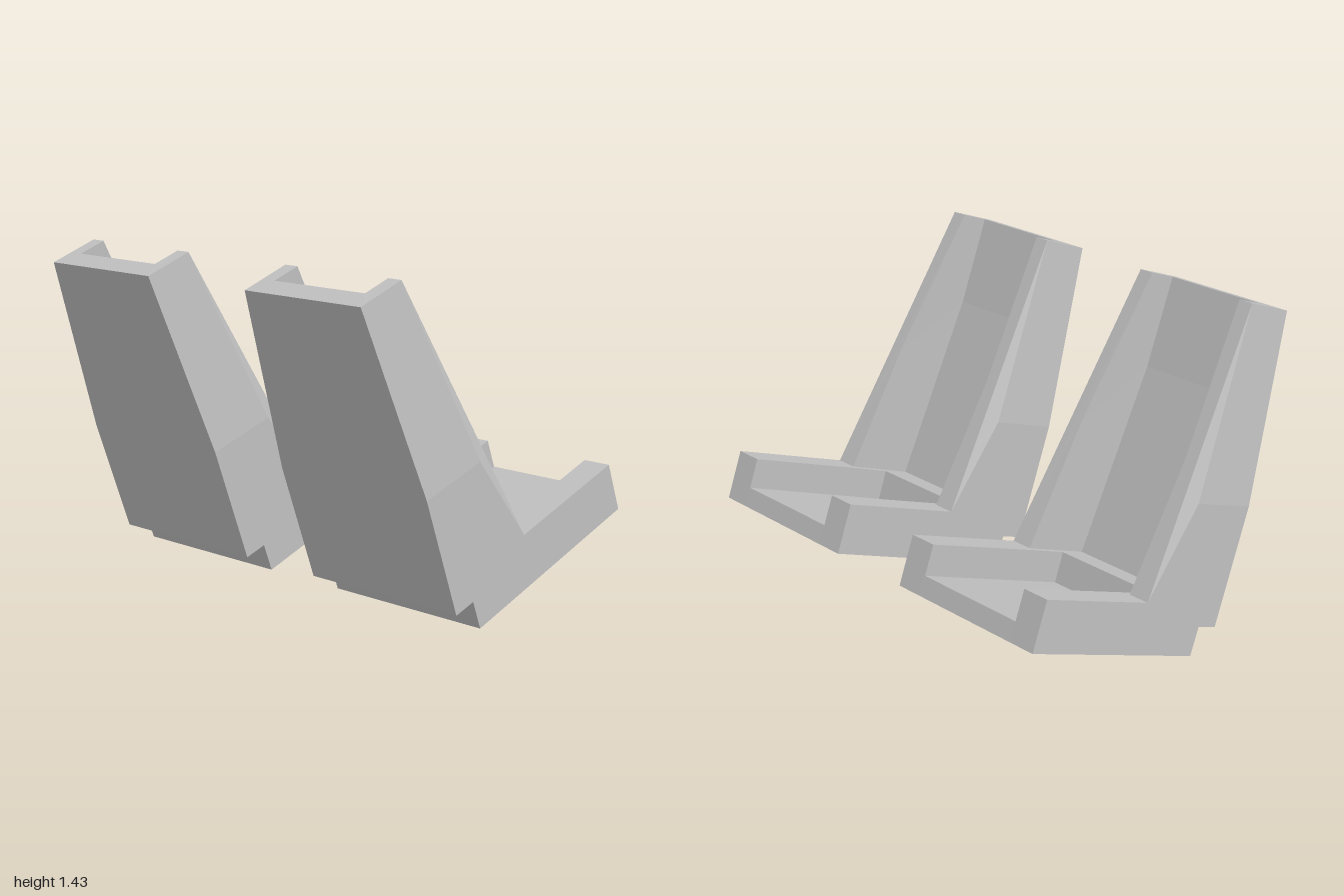
import * as THREE from 'three';

const grey = new THREE.MeshStandardMaterial({ color: 0xc0c0c0 });
grey.name = 'seat grey';

// Side profile given as [z, y], extruded across x from x0 to x1
function slab(name, profile, x0, x1) {
  const shape = new THREE.Shape(profile.map(([z, y]) => new THREE.Vector2(z, y)));
  const geo = new THREE.ExtrudeGeometry(shape, { depth: x1 - x0, bevelEnabled: false });
  geo.rotateY(-Math.PI / 2).translate(x1, 0, 0);
  const mesh = new THREE.Mesh(geo, grey);
  mesh.name = name;
  return mesh;
}

// Backrest: left half from named corners, then mirrored
function backrest() {
  const p = {
    hinge: [0.398, 0.335, -0.12], notch: [0.398, 0.12, 0.19], heel: [0.398, 0.085, 0.29],
    bendBack: [0.398, 0.58, 0.47], bendSide: [0.398, 0.685, 0.16],
    top: [0.313, 1.43, 0.53], topBack: [0.313, 1.35, 0.75],
    rimLow: [0.297, 0.335, -0.12], rimMid: [0.297, 0.84, 0.18], rimTop: [0.244, 1.43, 0.53],
    padTop: [0.244, 1.385, 0.655], padMid: [0.25, 1.01, 0.52], padLow: [0.297, 0.22, 0.19],
  };
  // Matching points on the centre line
  for (const k of ['padTop', 'padMid', 'padLow', 'topBack', 'bendBack', 'heel', 'notch']) {
    p[k + '0'] = [0, p[k][1], p[k][2]];
  }
  const faces = [
    // outer side
    'hinge bendSide bendBack heel notch', 'bendSide top topBack bendBack', 'hinge top bendSide',
    // front rim of the wing
    'hinge rimLow rimMid rimTop top',
    // inner side of the wing
    'rimLow padLow rimMid', 'padLow padMid rimMid', 'rimMid padMid rimTop', 'padMid padTop rimTop',
    // recessed panel
    'padLow padLow0 padMid0 padMid', 'padMid padMid0 padTop0 padTop',
    // top edge, rear and underside
    'topBack top rimTop padTop padTop0 topBack0',
    'bendBack0 bendBack topBack topBack0', 'heel0 heel bendBack bendBack0',
    'notch heel heel0 notch0',
  ];
  const pos = [];
  for (const face of faces) {
    const c = face.split(' ').map((k) => p[k]);
    for (let i = 1; i < c.length - 1; i++) {
      const tri = [c[0], c[i], c[i + 1]];
      for (const v of tri) pos.push(...v);
      for (const v of tri.reverse()) pos.push(-v[0], v[1], v[2]);
    }
  }
  const geo = new THREE.BufferGeometry();
  geo.setAttribute('position', new THREE.Float32BufferAttribute(pos, 3));
  geo.computeVertexNormals();
  const mesh = new THREE.Mesh(geo, grey);
  mesh.name = 'backrest';
  return mesh;
}

function seat(name) {
  const chair = new THREE.Group();
  chair.name = name;
  const under = [[0.19, 0.22], [0.19, 0.12], [0.145, 0], [-0.75, 0.33]];
  const armProfile = [...under, [-0.675, 0.535], [-0.12, 0.335]];
  // Cushion well is open at the front edge
  const wellProfile = [...under, [-0.72, 0.41], [0.005, 0.143], [0.05, 0.272]];
  chair.add(
    slab('leftSeatSide', armProfile, 0.27, 0.398),
    slab('rightSeatSide', armProfile, -0.398, -0.27),
    slab('seatBase', wellProfile, -0.27, 0.27),
    backrest(),
  );
  return chair;
}

export function createModel() {
  const model = new THREE.Group();
  model.name = 'pairOfSeats';
  for (const side of [-1, 1]) {
    const chair = seat(side > 0 ? 'leftSeat' : 'rightSeat');
    chair.position.x = side * 0.602;
    model.add(chair);
  }
  return model;
}
